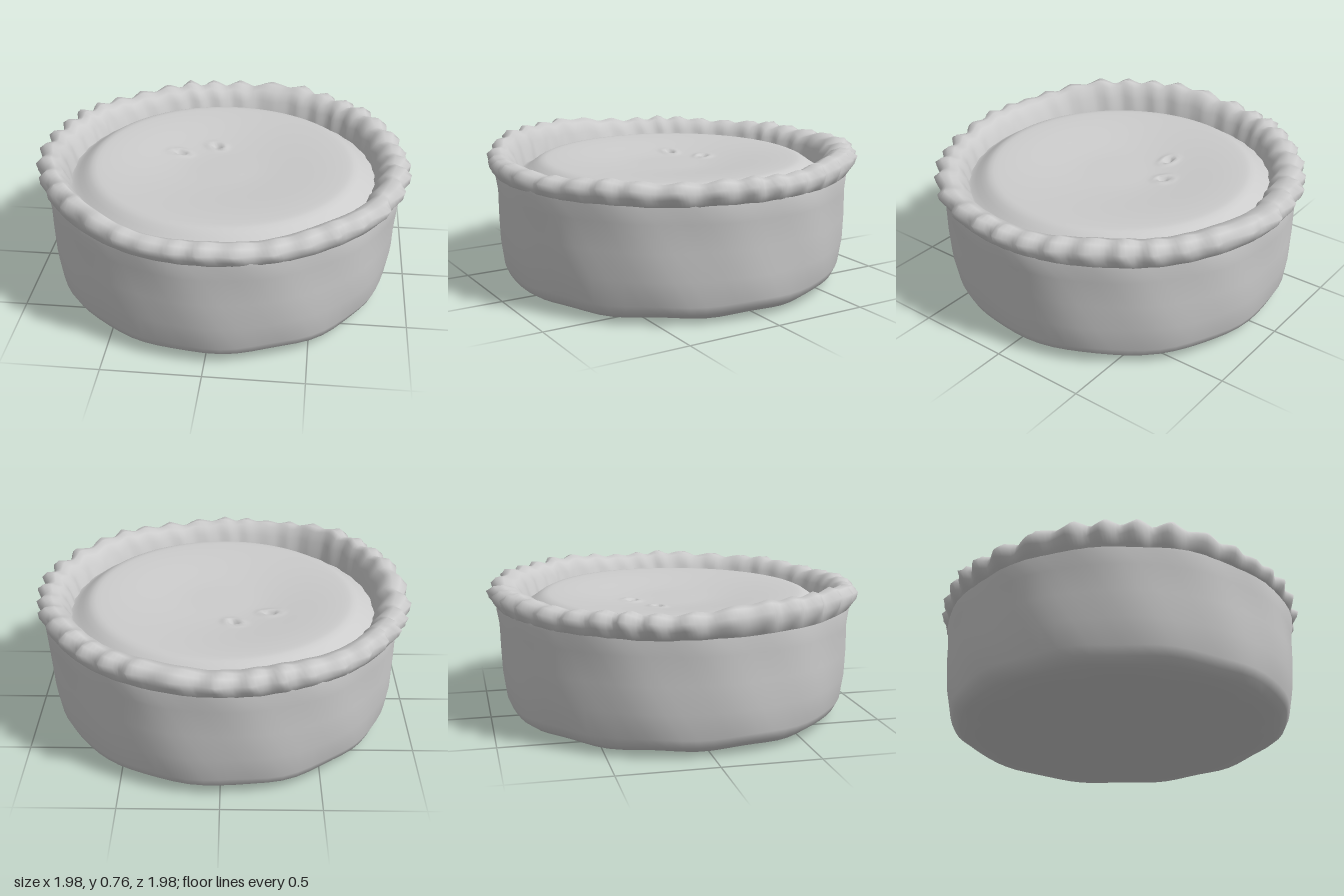
import * as THREE from 'three';

const TAU = Math.PI * 2;
const deg = Math.PI / 180;
const { smoothstep } = THREE.MathUtils;

// Closed ring surface: at(row, angle) gives [radius, height].
function ringSurface(name, rows, cols, at) {
  const pos = [], index = [];
  for (let i = 0; i < rows; i++) {
    for (let j = 0; j < cols; j++) {
      const a = (j / cols) * TAU;
      const [r, y] = at(i, a);
      pos.push(r * Math.cos(a), y, r * Math.sin(a));
      if (i === rows - 1) continue;
      const k = (j + 1) % cols;
      const p = i * cols + j, q = p + cols, s = (i + 1) * cols + k, t = i * cols + k;
      index.push(p, q, s, p, s, t);
    }
  }
  const geo = new THREE.BufferGeometry();
  geo.setAttribute('position', new THREE.Float32BufferAttribute(pos, 3));
  geo.setIndex(index);
  geo.computeVertexNormals();
  const mat = new THREE.MeshStandardMaterial({ color: 0xcccccc, side: THREE.DoubleSide });
  const mesh = new THREE.Mesh(geo, mat);
  mesh.name = name;
  return mesh;
}

// Smooth bump around the ring, centred on angle a0.
function bump(a, a0, width) {
  const d = Math.atan2(Math.sin(a - a0), Math.cos(a - a0));
  return Math.exp(-((d / width) ** 2));
}

// Uneven lift of the hand-made edge.
function lift(a) {
  return 0.045 * bump(a, 150 * deg, 32 * deg) + 0.02 * bump(a, -45 * deg, 35 * deg)
    - 0.014 * bump(a, 85 * deg, 30 * deg) + 0.006 * Math.sin(9 * a);
}

// Sharp crimp wave, -1 to 1, with irregular spacing and size.
function crimp(a, shift) {
  const phase = 37 * a + 1.3 * Math.sin(3 * a + 1) + 0.8 * Math.sin(7 * a) + shift;
  const size = 0.85 + 0.3 * Math.sin(5 * a + 2) * Math.sin(11 * a) - 0.35 * bump(a, 100 * deg, 40 * deg);
  return size * (2 / Math.PI) * Math.asin(Math.sin(phase));
}

export function createModel() {
  const group = new THREE.Group();
  group.name = 'pie';

  // Crust case: flat base, rounded foot, nearly upright wall
  const wall = [
    [0, 0.008], [0.6, 0.008], [0.76, 0.02], [0.835, 0.035], [0.875, 0.065], [0.897, 0.11],
    [0.917, 0.24], [0.924, 0.38], [0.925, 0.52], [0.935, 0.6], [0.92, 0.66],
  ];
  group.add(ringSurface('crustCase', wall.length, 72, (i, a) => {
    const [r, y] = wall[i];
    const dent = 0.003 * Math.sin(7 * a + i * 0.5) + 0.003 * Math.sin(13 * a - i);
    const flare = i > 7 ? 0.015 * bump(a, 0, 25 * deg) : 0;
    const depth = r > 0 ? 0.012 * Math.sin(a) ** 2 : 0;
    const foot = i > 2 && i < 6 ? 0.005 * Math.sin(11 * a + 1) : 0;
    return [r * (1 + dent) + depth + flare, y + foot];
  }));

  // Crimped rim: [radius, height, crimp radius, crimp height, crimp shift, lift share]
  const rim = [
    [0.915, 0.585, 0, 0, 0, 0.1],
    [0.945, 0.61, 0.006, 0.008, 0, 0.3],
    [0.965, 0.645, 0.02, 0.01, 0.4, 0.6],
    [0.968, 0.68, 0.028, 0.012, 0.9, 0.8],
    [0.94, 0.708, 0.02, 0.014, 1.5, 1],
    [0.9, 0.716, 0.008, 0.012, 2.1, 1],
    [0.86, 0.7, 0.012, 0.01, 2.7, 0.9],
    [0.825, 0.655, 0.014, 0.006, 3.1, 0.6],
    [0.8, 0.58, 0.006, 0, 3.4, 0],
  ];
  group.add(ringSurface('crimpedRim', rim.length, 296, (i, a) => {
    const [r, y, cr, cy, shift, share] = rim[i];
    const w = crimp(a, shift);
    const sway = 0.007 * Math.sin(4 * a + 0.5) * share;
    const inner = i > 5 ? 0.02 * bump(a, 130 * deg, 30 * deg) - 0.02 * bump(a, -90 * deg, 40 * deg) : 0;
    return [r + cr * w + sway + inner, y + cy * w + lift(a) * share];
  }));

  // Lid: dished middle, raised shoulder, edge sinking into a groove, two pinched vents
  const vents = [[-0.25, -0.14], [-0.06, -0.24]];
  const lidRows = 36;
  group.add(ringSurface('pieLid', lidRows, 128, (i, a) => {
    const r = 0.84 * (1 - i / (lidRows - 1));
    const x = r * Math.cos(a), z = r * Math.sin(a);
    let y = 0.622 + 0.04 * smoothstep(r, 0.15, 0.68) - 0.075 * smoothstep(r, 0.68, 0.83);
    y += 0.006 * Math.sin(4 * x + 3 * z) * (1 - r);
    for (const [vx, vz] of vents) {
      const d = Math.hypot(x - vx, (z - vz) * 1.3);
      y += 0.008 * Math.exp(-(((d - 0.045) / 0.02) ** 2)) - 0.035 * Math.exp(-((d / 0.022) ** 2));
    }
    return [r, y];
  }));

  return group;
}
